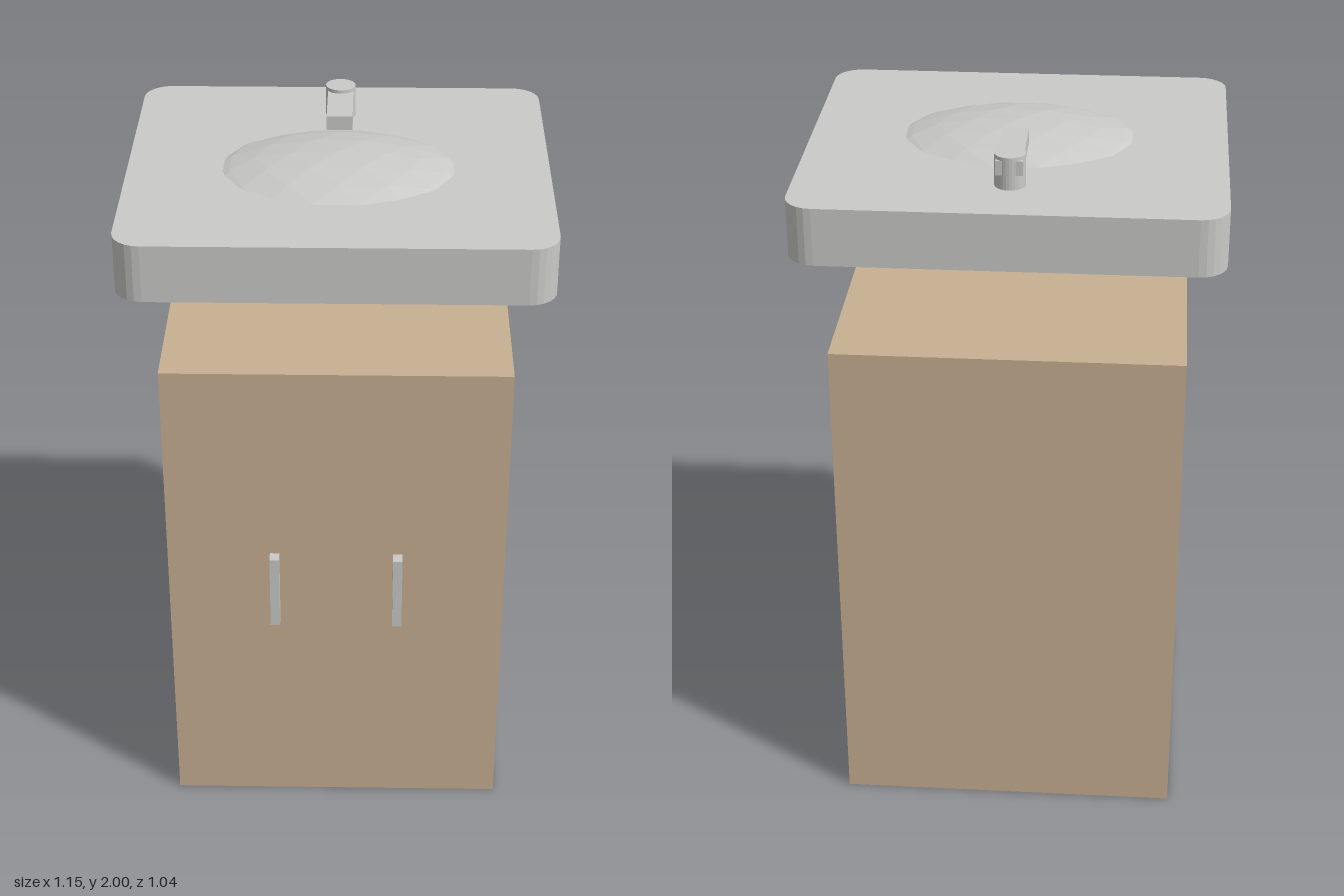
import * as THREE from 'three';

const ceramic = new THREE.MeshStandardMaterial({ name: 'pale grey', color: 0xcacac8, flatShading: true });
const wood = new THREE.MeshStandardMaterial({ name: 'light wood', color: 0xc8b092 });

export function createModel() {
  const model = new THREE.Group();
  model.name = 'washbasinCabinet';

  const add = (name, geometry, material, x, y, z) => {
    const mesh = new THREE.Mesh(geometry, material);
    mesh.name = name;
    mesh.position.set(x, y, z);
    model.add(mesh);
    return mesh;
  };

  // Cabinet and its two door handles
  add('cabinet', new THREE.BoxGeometry(0.96, 1.47, 0.88), wood, 0, 0.735, -0.035);
  for (const side of [-1, 1]) {
    add(side > 0 ? 'leftHandle' : 'rightHandle',
      new THREE.BoxGeometry(0.027, 0.23, 0.035), ceramic, side * 0.175, 0.765, 0.4225);
  }

  // Basin slab with rounded corners, floating above the cabinet
  const w = 0.575, d = 0.518, r = 0.077;
  const outline = new THREE.Shape();
  outline.absarc(w - r, d - r, r, 0, Math.PI / 2);
  outline.absarc(-w + r, d - r, r, Math.PI / 2, Math.PI);
  outline.absarc(-w + r, -d + r, r, Math.PI, Math.PI * 1.5);
  outline.absarc(w - r, -d + r, r, Math.PI * 1.5, Math.PI * 2);
  const slab = new THREE.ExtrudeGeometry(outline, { depth: 0.16, bevelEnabled: false, curveSegments: 3 });
  slab.rotateX(-Math.PI / 2);
  add('basinSlab', slab, ceramic, 0, 1.75, 0);

  // Faceted bowl, bulging through the top and the underside of the slab
  const bowl = new THREE.IcosahedronGeometry(1, 3);
  bowl.scale(0.432, 0.137, 0.328);
  add('bowl', bowl, ceramic, 0, 1.8185, 0.033);

  // Tap: upright post and flat spout
  add('tapPost', new THREE.CylinderGeometry(0.042, 0.042, 0.09, 32), ceramic, 0, 1.955, -0.322);
  add('tapSpout', new THREE.BoxGeometry(0.072, 0.04, 0.24), ceramic, 0, 1.97, -0.24);

  return model;
}
